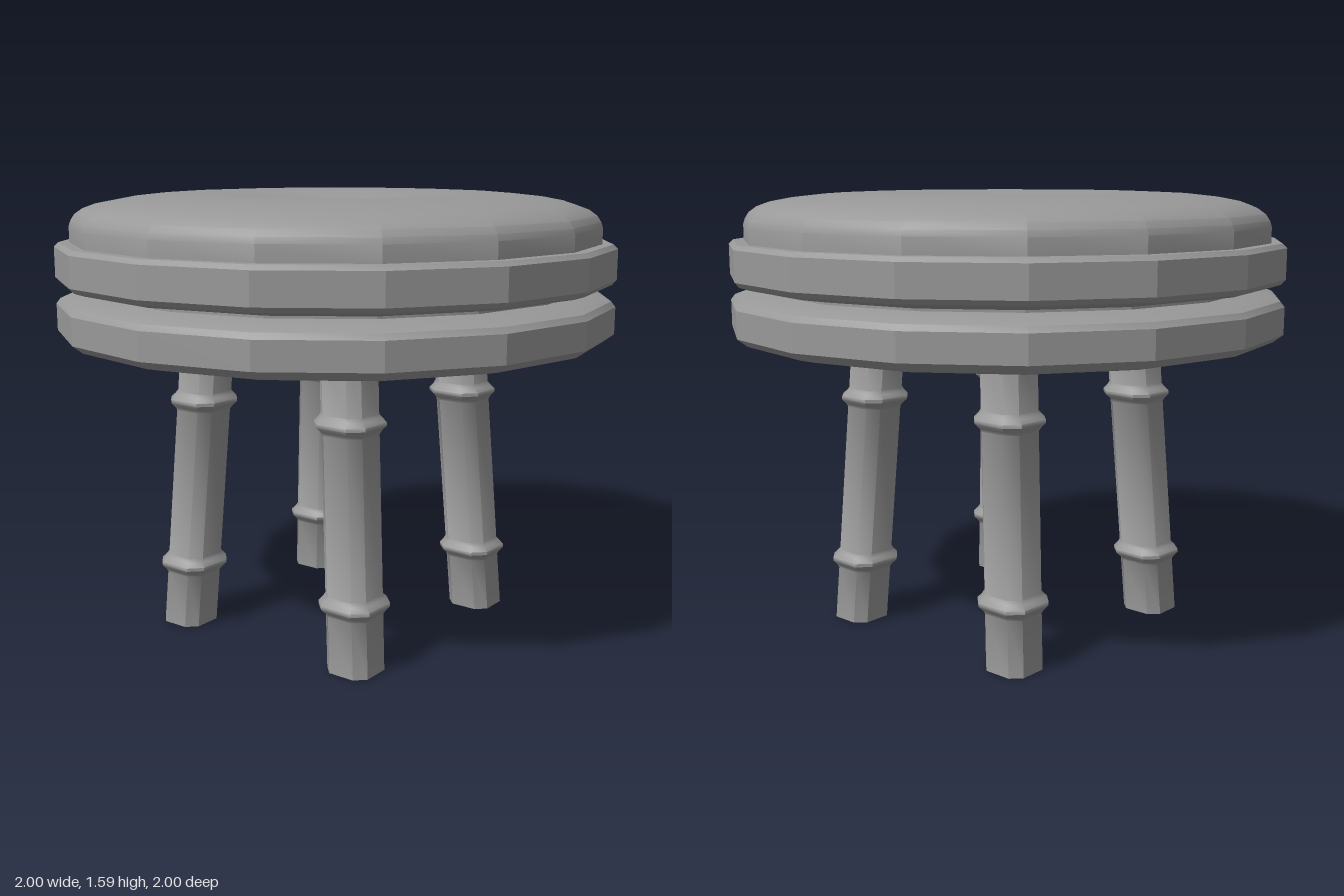
import * as THREE from 'three';
import { toCreasedNormals } from 'three/addons/utils/BufferGeometryUtils.js';

const material = new THREE.MeshStandardMaterial({ color: 0x999999 });

// Turned part from [radius, height] pairs listed bottom to top
function turned(profile, sides, phiStart = 0) {
  const points = profile.map(([r, y]) => new THREE.Vector2(r, y));
  return new THREE.LatheGeometry(points, sides, phiStart);
}

function addPart(parent, name, geometry, crease) {
  const mesh = new THREE.Mesh(toCreasedNormals(geometry, crease), material);
  mesh.name = name;
  parent.add(mesh);
}

// Profile of a rounded ring around a leg, centred at height y
const ring = (y) => [
  [0.085, y - 0.034], [0.092, y - 0.022], [0.106, y - 0.006],
  [0.106, y + 0.006], [0.092, y + 0.022], [0.085, y + 0.034],
];

export function createModel() {
  const stool = new THREE.Group();
  stool.name = 'stool';

  // Seat drum: two bands with a tapering groove between them
  addPart(stool, 'seatBase', turned([
    [0, 1.07], [0.91, 1.07], [0.965, 1.083], [1, 1.11], [1, 1.205], [0.985, 1.224],
    [0.95, 1.237], [0.86, 1.248], [0.86, 1.256], [0.95, 1.27], [0.985, 1.281], [1, 1.298],
    [1, 1.405], [0.985, 1.42], [0.93, 1.42], [0, 1.42],
  ], 16), 0.38);

  // Padded cushion, dipping towards the middle
  addPart(stool, 'cushion', turned([
    [0.946, 1.4], [0.946, 1.475], [0.9395, 1.495], [0.925, 1.517], [0.897, 1.537],
    [0.85, 1.554], [0.77, 1.569], [0.65, 1.582], [0.5, 1.588], [0.36, 1.58],
    [0.22, 1.565], [0.1, 1.545], [0, 1.535],
  ], 16), 0.38);

  // Button in the dimple
  addPart(stool, 'button', turned([
    [0.05, 1.53], [0.064, 1.548], [0.06, 1.56], [0.04, 1.566], [0, 1.568],
  ], 16), 1);

  // Splayed square legs with cut corners and two rings
  const legProfile = [
    [0, 0], [0.085, 0], ...ring(0.231), ...ring(0.848), [0.085, 1.1], [0, 1.1],
  ];
  for (const sz of [1, -1]) {
    for (const sx of [1, -1]) {
      const geometry = turned(legProfile, 8, Math.PI / 8);
      const p = geometry.attributes.position;
      for (let i = 0; i < p.count; i++) {
        const [x, y, z] = [p.getX(i), p.getY(i), p.getZ(i)];
        // Octagon to cut-corner square: the four main faces are the wide ones
        const reach = Math.max(Math.abs(x), Math.abs(z)) / Math.cos(Math.PI / 8);
        const section = (v) => Math.sign(v) * reach * (Math.abs(v) > reach * 0.7 ? 1 : 0.58);
        // The lean is a shear, so the feet stay level
        p.setX(i, section(x) + sx * (0.386 - 0.066 * y));
        p.setZ(i, section(z) + sz * (0.4 - 0.047 * y));
      }
      addPart(stool, (sz > 0 ? 'front' : 'back') + (sx > 0 ? 'Left' : 'Right') + 'Leg', geometry, 0.76);
    }
  }
  return stool;
}
